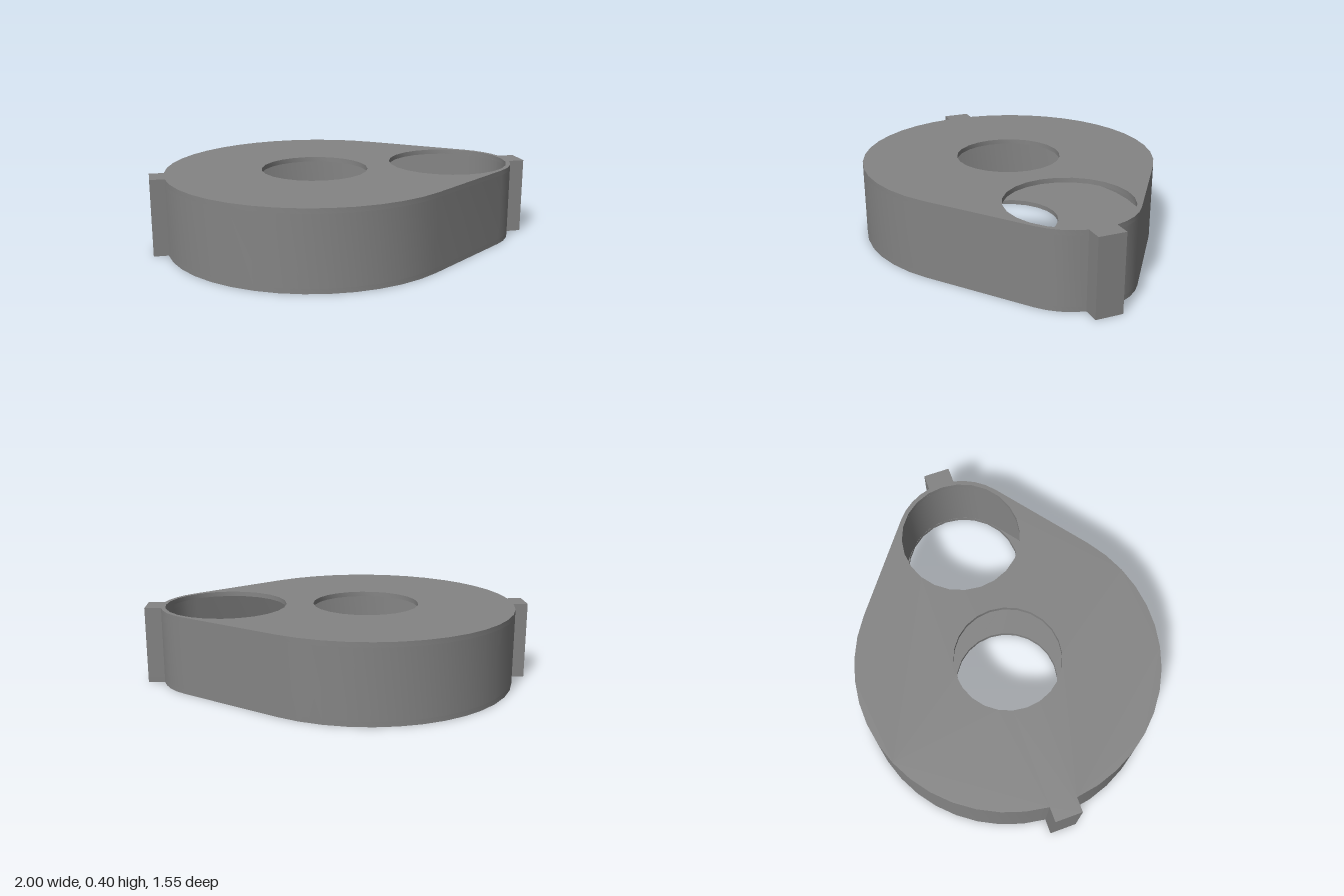
import * as THREE from 'three';
import { toCreasedNormals } from 'three/addons/utils/BufferGeometryUtils.js';

const HEIGHT = 0.4, PLATE = 0.025, WALL = 0.022;
const BIG = { x: -0.15, r: 0.778 };    // large end of the teardrop
const SMALL = { x: 0.584, r: 0.338 };  // small end
const TAB = 0.07;                      // half width of the end tabs

function arc(c, r, from, to, steps) {
  return Array.from({ length: steps + 1 }, (_, i) => {
    const a = from + (to - from) * i / steps;
    return new THREE.Vector2(c.x + r * Math.cos(a), r * Math.sin(a));
  });
}

// Teardrop around two circles, inset by a distance, with optional end tabs
function teardrop(inset, tabs) {
  const t = Math.acos((BIG.r - SMALL.r) / (SMALL.x - BIG.x));
  const rb = BIG.r - inset, rs = SMALL.r - inset;
  if (!tabs) return [...arc(SMALL, rs, -t, t, 10), ...arc(BIG, rb, t, 2 * Math.PI - t, 28)];
  const as = Math.asin(TAB / rs), ab = Math.asin(TAB / rb);
  const tabEnd = (s) => [new THREE.Vector2(s, s * -TAB), new THREE.Vector2(s, s * TAB)];
  return [
    ...tabEnd(1),
    ...arc(SMALL, rs, as, t, 4),
    ...arc(BIG, rb, t, Math.PI - ab, 14),
    ...tabEnd(-1),
    ...arc(BIG, rb, Math.PI + ab, 2 * Math.PI - t, 14),
    ...arc(SMALL, rs, -t, -as, 4),
  ];
}

// Horizontal slab of the outline with the given holes cut through
function slab(name, holes, y, depth, material) {
  const shape = new THREE.Shape(teardrop(0, true));
  for (const h of holes) shape.holes.push(new THREE.Path(h));
  const geometry = new THREE.ExtrudeGeometry(shape, { depth, bevelEnabled: false });
  geometry.rotateX(-Math.PI / 2).translate(0, y, 0);
  const mesh = new THREE.Mesh(toCreasedNormals(geometry, 0.5), material);
  mesh.name = name;
  return mesh;
}

export function createModel() {
  const group = new THREE.Group();
  group.name = 'hollowHousing';
  const material = new THREE.MeshStandardMaterial({ color: 0x848484 });

  // Round openings shared by both plates
  const openings = [
    arc(BIG, 0.277, 0, 2 * Math.PI, 24).slice(0, -1),
    arc(SMALL, SMALL.r - WALL, 0, 2 * Math.PI, 24).slice(0, -1),
  ];

  // Thin plates above and below a hollow wall that carries the tabs
  group.add(slab('bottomPlate', openings, 0, PLATE, material));
  group.add(slab('sideWall', [teardrop(WALL, false)], PLATE, HEIGHT - 2 * PLATE, material));
  group.add(slab('topPlate', openings, HEIGHT - PLATE, PLATE, material));
  return group;
}
